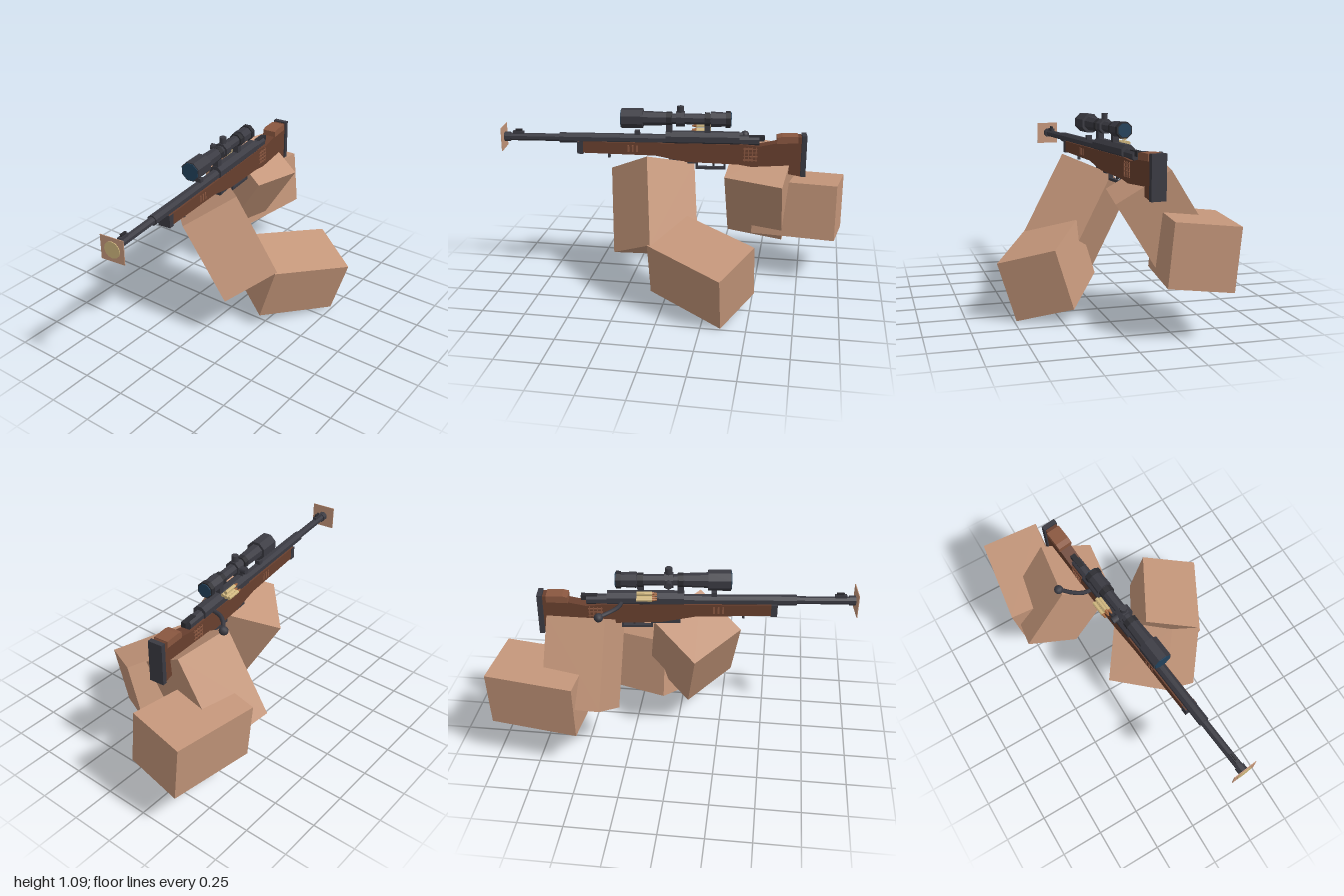
import * as THREE from 'three';

const mat = (name, color) => Object.assign(new THREE.MeshStandardMaterial({ color }), { name });

export function createModel() {
  const skin = mat('skin', 0xc4967a);
  const metal = mat('gunmetal', 0x3a3a42);
  const darkMetal = mat('dark metal', 0x2c2c31);
  const wood = mat('walnut', 0x683f2e);
  const lightWood = mat('light walnut', 0x8a5740);
  const brass = mat('brass', 0xcfb67e);
  const copper = mat('copper', 0xa5683f);
  const glass = mat('lens blue', 0x22425c);

  const model = new THREE.Group();
  const rifle = new THREE.Group();
  rifle.name = 'rifle';
  rifle.position.x = -0.092;
  rifle.rotation.y = 0.104;
  model.add(rifle);

  const add = (parent, name, geo, material) => {
    const mesh = new THREE.Mesh(geo, material);
    mesh.name = name;
    parent.add(mesh);
    return mesh;
  };
  // Box given by its x, y and z ranges
  const box = (name, m, x0, x1, y0, y1, z0, z1) =>
    add(rifle, name, new THREE.BoxGeometry(x1 - x0, y1 - y0, z1 - z0)
      .translate((x0 + x1) / 2, (y0 + y1) / 2, (z0 + z1) / 2), m);
  // Faceted eight-sided rod along z
  const rod = (name, m, r, y, z0, z1, x = 0, rBack = r) => {
    const g = new THREE.CylinderGeometry(r, rBack, z1 - z0, 8).rotateY(Math.PI / 8).rotateX(Math.PI / 2)
      .translate(x, y, (z0 + z1) / 2).toNonIndexed();
    g.computeVertexNormals();
    return add(rifle, name, g, m);
  };
  // Side profile (z, y) extruded across x
  const profile = (name, m, pts, width) =>
    add(rifle, name, new THREE.ExtrudeGeometry(
      new THREE.Shape(pts.map(p => new THREE.Vector2(...p))), { depth: width, bevelEnabled: false })
      .rotateY(-Math.PI / 2).translate(width / 2, 0, 0), m);

  // Arms: each block is a corner with three edges
  const arm = (name, corner, ...edges) => {
    const [c, a, b, d] = [corner, ...edges].map(v => new THREE.Vector3(...v));
    const basis = new THREE.Matrix4().makeBasis(a, b, d);
    if (basis.determinant() < 0) basis.makeBasis(b, a, d);
    basis.setPosition(c.addScaledVector(a, 0.5).addScaledVector(b, 0.5).addScaledVector(d, 0.5));
    add(model, name, new THREE.BoxGeometry(1, 1, 1).applyMatrix4(basis), skin);
  };
  arm('leftForearm', [-0.07, 0.705, 0.36], [-0.23, -0.095, -0.238], [0.185, 0.138, -0.247], [0.242, -0.435, -0.06]);
  arm('leftUpperArm', [0.355, 0.404, 0.07], [0.233, -0.081, -0.43], [-0.101, -0.326, 0], [-0.281, 0.09, -0.16]);
  arm('rightForearm', [-0.578, 0.445, -0.365], [0.27, 0.425, 0], [0.28, -0.176, 0.054], [0.046, -0.03, -0.335]);
  arm('rightUpperArm', [-0.592, 0.583, -0.508], [0.07, 0.007, -0.495], [0.032, -0.332, 0], [0.335, 0.032, 0.045]);

  // Wooden stock
  profile('stock', wood, [[0.55, 0.81], [0.1, 0.8], [-0.08, 0.765], [-0.38, 0.755], [-0.5, 0.735], [-0.74, 0.69],
    [-0.74, 0.925], [-0.66, 0.925], [-0.64, 0.895], [-0.5, 0.865], [-0.4, 0.875], [0.55, 0.875]], 0.07);
  box('forendCap', metal, -0.037, 0.037, 0.803, 0.875, 0.52, 0.555);
  box('buttPlate', metal, -0.042, 0.042, 0.69, 0.932, -0.77, -0.742);
  profile('cheekRest', lightWood, [[-0.72, 0.89], [-0.6, 0.885], [-0.6, 0.92], [-0.63, 0.928], [-0.72, 0.928]], 0.082);

  // Carved grip panels and forend grooves on both sides
  for (const s of [-1, 1]) {
    const x = s * 0.036;
    for (let i = 0; i < 4; i++) {
      box('gripLine', lightWood, x - 0.003, x + 0.003, 0.78 + i * 0.022, 0.786 + i * 0.022, -0.49, -0.41);
      box('gripRib', lightWood, x - 0.003, x + 0.003, 0.775, 0.86, -0.486 + i * 0.022, -0.48 + i * 0.022);
    }
    for (let i = 0; i < 3; i++)
      box('forendGroove', lightWood, x - 0.003, x + 0.003, 0.82, 0.86, 0.2 + i * 0.025, 0.21 + i * 0.025);
  }

  // Barrel, sights and receiver
  rod('muzzle', metal, 0.028, 0.89, 0.95, 0.985);
  rod('barrel', metal, 0.022, 0.89, 0.65, 0.96);
  rod('barrelShank', metal, 0.03, 0.89, 0, 0.66);
  box('frontSightBase', metal, -0.01, 0.01, 0.905, 0.925, 0.87, 0.935);
  box('frontSightBlade', darkMetal, -0.005, 0.005, 0.92, 0.938, 0.88, 0.92);
  box('rearSight', metal, -0.015, 0.015, 0.915, 0.94, 0.19, 0.22);
  box('slingStud', metal, -0.008, 0.008, 0.775, 0.81, 0.365, 0.378);
  rod('receiver', metal, 0.042, 0.9, -0.385, 0.04);
  rod('boltBody', metal, 0.03, 0.89, -0.5, -0.38);
  box('boltShroud', darkMetal, -0.015, 0.015, 0.89, 0.92, -0.53, -0.44);

  // Bolt handle sweeping out to the right
  const curve = new THREE.CatmullRomCurve3([[0, 0.885, -0.3], [-0.08, 0.885, -0.32], [-0.13, 0.885, -0.36], [-0.17, 0.878, -0.415]]
    .map(p => new THREE.Vector3(...p)));
  add(rifle, 'boltHandle', new THREE.TubeGeometry(curve, 8, 0.012, 6), metal);
  add(rifle, 'boltKnob', new THREE.IcosahedronGeometry(0.026, 1).translate(-0.175, 0.875, -0.42), metal);

  // Trigger and guard
  box('guardBar', metal, -0.012, 0.012, 0.715, 0.729, -0.31, -0.135);
  for (const z of [-0.31, -0.147]) box('guardPost', metal, -0.012, 0.012, 0.715, 0.775, z, z + 0.012);
  box('trigger', darkMetal, -0.006, 0.006, 0.735, 0.78, -0.245, -0.233);
  box('floorPlate', metal, -0.025, 0.025, 0.752, 0.775, -0.14, 0.02);

  // Spare cartridges beside the receiver
  [[-0.075, 0.93], [-0.055, 0.93], [-0.035, 0.935], [-0.055, 0.958]].forEach(([x, y]) => {
    rod('cartridgeCase', brass, 0.0105, y, -0.22, -0.135, x);
    rod('bulletTip', copper, 0.004, y, -0.135, -0.108, x, 0.0095);
  });

  // Telescopic sight
  const y = 1.013;
  rod('scopeObjective', metal, 0.058, y, 0.17, 0.295);
  rod('scopeLens', glass, 0.052, y, 0.292, 0.299);
  rod('scopeFrontTube', metal, 0.043, y, 0.03, 0.17, 0, 0.038);
  rod('scopeTube', metal, 0.031, y, -0.23, 0.04);
  rod('scopeEyepiece', metal, 0.045, y, -0.32, -0.22, 0, 0.04);
  rod('scopeEyeRing', darkMetal, 0.048, y, -0.333, -0.305);
  rod('scopeEyeLens', glass, 0.04, y, -0.338, -0.332);
  for (const z of [0.02, -0.2]) {
    box('scopeMount', metal, -0.018, 0.018, 0.92, 1, z - 0.017, z + 0.017);
    rod('scopeRing', darkMetal, 0.04, y, z - 0.016, z + 0.016);
  }
  rod('turretCollar', metal, 0.044, y, -0.07, -0.02);
  const turret = new THREE.CylinderGeometry(0.02, 0.02, 0.06, 8);
  add(rifle, 'elevationTurret', turret.clone().translate(0, 1.058, -0.045), metal);
  add(rifle, 'windageTurret', turret.clone().rotateZ(Math.PI / 2).translate(-0.045, y, -0.045), metal);

  // Square plate with a round disc at the muzzle
  box('muzzlePlate', skin, -0.07, 0.07, 0.82, 0.956, 0.987, 0.991);
  add(rifle, 'muzzleDisc', new THREE.CylinderGeometry(0.047, 0.047, 0.004, 12).rotateX(Math.PI / 2)
    .translate(0, 0.888, 0.993), brass);

  return model;
}
